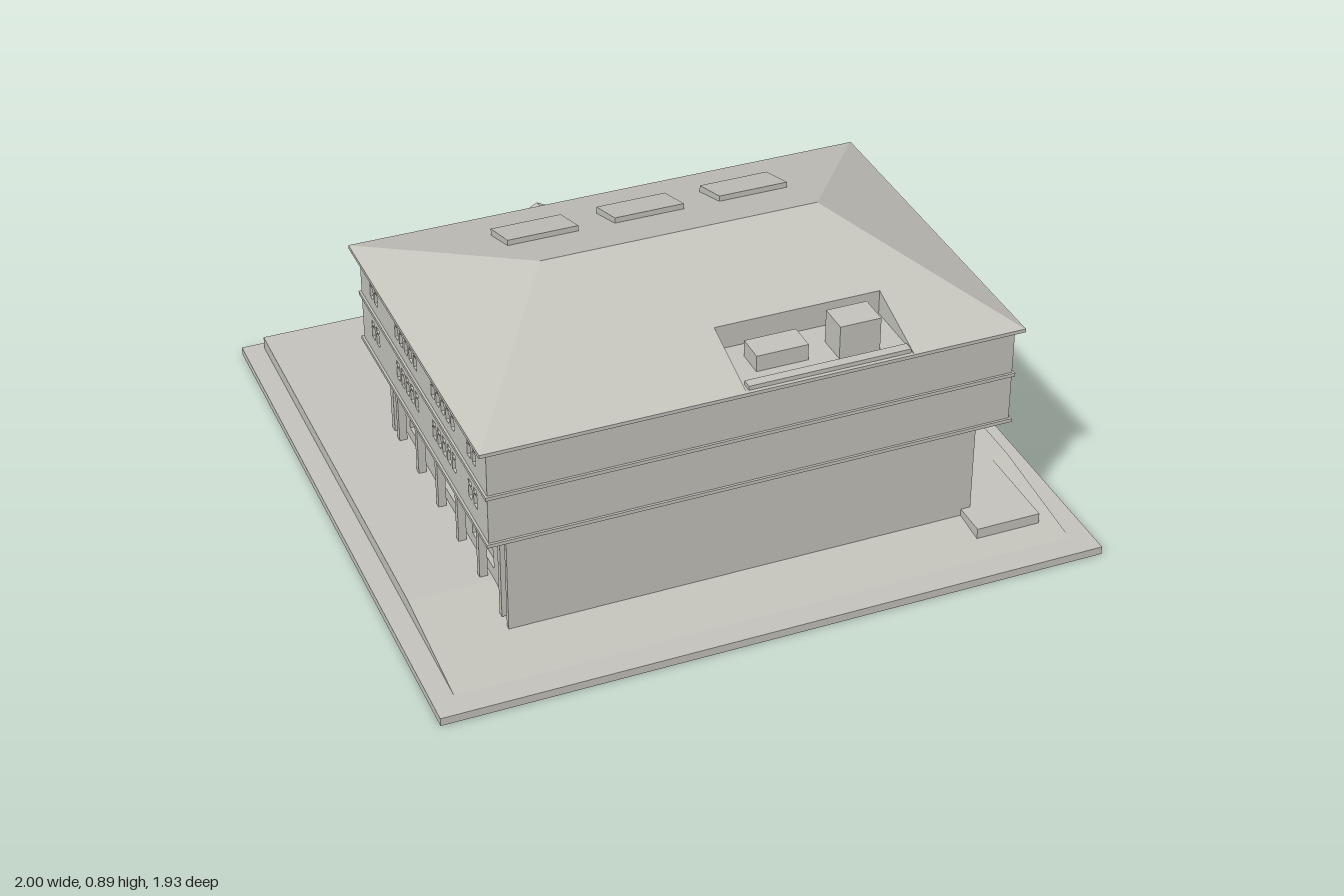
import * as THREE from 'three';

const stone = new THREE.MeshStandardMaterial({ color: 0xc4c3bc, side: THREE.DoubleSide });
stone.name = 'pale stone';

function add(parent, name, geometry) {
  const mesh = new THREE.Mesh(geometry, stone);
  mesh.name = name;
  parent.add(mesh);
  return mesh;
}

// Box given by its limits on each axis
function block(parent, name, x0, x1, y0, y1, z0, z1) {
  const mesh = add(parent, name, new THREE.BoxGeometry(x1 - x0, y1 - y0, z1 - z0));
  mesh.position.set((x0 + x1) / 2, (y0 + y1) / 2, (z0 + z1) / 2);
  return mesh;
}

const polygon = (pts) => new THREE.Shape(pts.map(([a, b]) => new THREE.Vector2(a, b)));
const rect = (a0, a1, b0, b1) => [[a0, b0], [a1, b0], [a1, b1], [a0, b1]];
const extrude = (shape, depth) => new THREE.ExtrudeGeometry(shape, { depth, bevelEnabled: false });

// Profile in (z, y) swept along x from x0 to x1
function sweepX(parent, name, pts, x0, x1) {
  const geometry = extrude(polygon(pts.map(([z, y]) => [-z, y])), x1 - x0);
  geometry.rotateY(Math.PI / 2).translate(x0, 0, 0);
  return add(parent, name, geometry);
}

// Pierced wall panel; openings are [centre, width, bottom, top]
function wall(parent, name, u0, u1, y0, y1, openings, angle, distance) {
  const shape = polygon(rect(u0, u1, y0, y1));
  for (const [c, w, b, t] of openings) {
    shape.holes.push(new THREE.Path(rect(c - w / 2, c + w / 2, b, t).map((p) => new THREE.Vector2(...p))));
  }
  const geometry = extrude(shape, 0.015).translate(0, 0, distance - 0.015);
  add(parent, name, geometry.rotateY(angle));
}

// Two storeys of small windows with top lights, in groups of [centre, count]
function upperWindows(groups) {
  const list = [];
  for (const [centre, count] of groups) {
    for (let i = 0; i < count; i++) {
      const c = centre + (i - (count - 1) / 2) * 0.0415;
      for (const y of [0.455, 0.593]) {
        list.push([c, 0.027, y, y + 0.038], [c, 0.027, y + 0.044, y + 0.057]);
      }
    }
  }
  return list;
}

// Two rows of wide windows, [centre, width]
const lowerWindows = (bays) => bays.flatMap(([c, w]) => [[c, w, 0.103, 0.165], [c, w, 0.285, 0.35]]);

// Roof height over any point of the plan
const EAVE = 0.705;
const roofHeight = (x, z) => EAVE + 0.185 * Math.max(0, Math.min(
  (0.775 - z) / 0.56, (z + 0.355) / 0.57, (0.8 - Math.abs(x)) / 0.38));

function buildGround(g) {
  block(g, 'basePlate', -1, 1, 0, 0.025, -0.97, 0.965);
  sweepX(g, 'slopedTerrace', [[-0.94, 0.025], [0.89, 0.025], [0.5, 0.066], [-0.94, 0.066]], -0.935, 0.935);
  block(g, 'sidePlatform', 0.68, 0.88, 0.026, 0.067, 0.4, 0.805);
}

function buildGroundFloor(g) {
  block(g, 'groundFloorCore', -0.665, 0.665, 0.03, 0.395, -0.265, 0.695);
  block(g, 'frontWall', -0.71, 0.71, 0.03, 0.395, 0.685, 0.7);
  const sideBays = [[0.64, 0.076], [0.41, 0.18], [0.09, 0.18], [-0.205, 0.073]];
  const columnZ = [0.65, 0.467, 0.287, 0.11, -0.07, -0.25];
  for (const s of [1, -1]) {
    const flipped = sideBays.map(([c, w]) => [-s * c, w]);
    wall(g, 'lowerSideWall', s > 0 ? -0.69 : -0.27, s > 0 ? 0.27 : 0.69, 0.03, 0.395,
      lowerWindows(flipped), s * Math.PI / 2, 0.68);
    for (const z of columnZ) {
      block(g, 'sideColumn', s * 0.703 - 0.012, s * 0.703 + 0.012, 0.06, 0.395, z - 0.01, z + 0.01);
    }
  }
  const backBays = [-0.58, -0.39, -0.195, 0, 0.195, 0.39, 0.58].map((c) => [c, 0.12]);
  wall(g, 'lowerBackWall', -0.68, 0.68, 0.03, 0.395, lowerWindows(backBays), Math.PI, 0.28);
  for (let i = 0; i < 8; i++) {
    const x = -0.7 + i * 0.2;
    block(g, 'backColumn', x - 0.012, x + 0.012, 0.06, 0.395, -0.32, -0.295);
  }
}

function buildUpperFloors(g) {
  block(g, 'upperCore', -0.764, 0.764, 0.395, 0.7, -0.315, 0.757);
  block(g, 'upperFrontWall', -0.779, 0.779, 0.395, 0.7, 0.745, 0.76);
  const groups = [[0.64, 2], [0.403, 5], [0.085, 5], [-0.207, 2]];
  for (const s of [1, -1]) {
    wall(g, 'upperSideWall', s > 0 ? -0.755 : -0.33, s > 0 ? 0.33 : 0.755, 0.395, 0.7,
      upperWindows(groups.map(([c, n]) => [-s * c, n])), s * Math.PI / 2, 0.779);
  }
  const backGroups = [-0.61, -0.365, -0.12, 0.12, 0.365, 0.61].map((c) => [c, 5]);
  wall(g, 'upperBackWall', -0.765, 0.765, 0.395, 0.7, upperWindows(backGroups), Math.PI, 0.33);
  for (const y of [0.39, 0.545]) {
    block(g, 'stringCourse', -0.786, 0.786, y, y + 0.011, -0.337, 0.767);
  }
  block(g, 'eaves', -0.803, 0.803, 0.694, EAVE, -0.357, 0.777);
}

function buildRoof(g) {
  const slopes = {
    frontSlope: [[-0.8, 0.775], [-0.04, 0.775], [-0.04, 0.55], [0.46, 0.55], [0.46, 0.775],
      [0.8, 0.775], [0.42, 0.215], [-0.42, 0.215]],
    backSlope: [[0.8, -0.355], [-0.8, -0.355], [-0.42, 0.215], [0.42, 0.215]],
    rightSlope: [[0.8, 0.775], [0.8, -0.355], [0.42, 0.215]],
    leftSlope: [[-0.8, -0.355], [-0.8, 0.775], [-0.42, 0.215]],
  };
  for (const [name, pts] of Object.entries(slopes)) {
    const geometry = new THREE.ShapeGeometry(polygon(pts.map(([x, z]) => [x, -z])));
    const p = geometry.attributes.position;
    for (let i = 0; i < p.count; i++) {
      const x = p.getX(i), z = -p.getY(i);
      p.setXYZ(i, x, roofHeight(x, z), z);
    }
    geometry.computeVertexNormals();
    add(g, name, geometry);
  }
  // Sunken roof terrace with plant boxes
  const top = roofHeight(0, 0.55);
  block(g, 'terraceBackWall', -0.04, 0.46, EAVE, top, 0.545, 0.55);
  for (const x of [-0.045, 0.46]) {
    sweepX(g, 'terraceSideWall', [[0.55, EAVE], [0.775, EAVE], [0.55, top]], x, x + 0.005);
  }
  block(g, 'terraceParapet', -0.03, 0.455, EAVE, 0.718, 0.735, 0.765);
  block(g, 'lowPlantBox', 0.025, 0.18, EAVE, 0.755, 0.605, 0.69);
  block(g, 'tallPlantBox', 0.26, 0.383, EAVE, 0.808, 0.625, 0.718);
  // Skylights on the back slope
  for (const x of [-0.33, -0.005, 0.32]) {
    sweepX(g, 'skylight', [[-0.15, 0.765], [-0.005, 0.81], [-0.005, 0.836], [-0.15, 0.793]], x - 0.107, x + 0.107);
  }
}

function buildPortico(g) {
  const mid = -0.145;
  block(g, 'lowerStep', -0.42, 0.12, 0.06, 0.078, -0.64, -0.27);
  block(g, 'upperStep', -0.39, 0.095, 0.07, 0.09, -0.595, -0.27);
  // Three columns in an L at each outer corner
  for (const s of [1, -1]) {
    for (const [dx, z] of [[0.2, -0.543], [0.2, -0.502], [0.145, -0.543]]) {
      const x = mid + s * dx;
      block(g, 'porticoColumn', x - 0.014, x + 0.014, 0.08, 0.445, z - 0.013, z + 0.013);
    }
  }
  block(g, 'entablature', mid - 0.225, mid + 0.225, 0.44, 0.46, -0.56, -0.32);
  // Gabled roof with a recessed pediment
  const gable = (w, y, h) => [[mid - w, y], [mid + w, y], [mid, y + h]];
  add(g, 'gableRoof', extrude(polygon(gable(0.235, 0.458, 0.127)), 0.23).translate(0, 0, -0.555));
  const frame = polygon(gable(0.235, 0.458, 0.127));
  frame.holes.push(new THREE.Path(gable(0.165, 0.472, 0.089).map((p) => new THREE.Vector2(...p))));
  add(g, 'pedimentFrame', extrude(frame, 0.015).translate(0, 0, -0.57));
}

function buildAnnex(g) {
  block(g, 'annexBody', 0.467, 0.725, 0.06, 0.235, -0.832, -0.27);
  block(g, 'annexCap', 0.462, 0.732, 0.232, 0.243, -0.84, -0.285);
}

export function createModel() {
  const model = new THREE.Group();
  model.name = 'building';
  const parts = {
    ground: buildGround, groundFloor: buildGroundFloor, upperFloors: buildUpperFloors,
    roof: buildRoof, portico: buildPortico, annex: buildAnnex,
  };
  for (const [name, build] of Object.entries(parts)) {
    const group = new THREE.Group();
    group.name = name;
    build(group);
    model.add(group);
  }
  return model;
}
